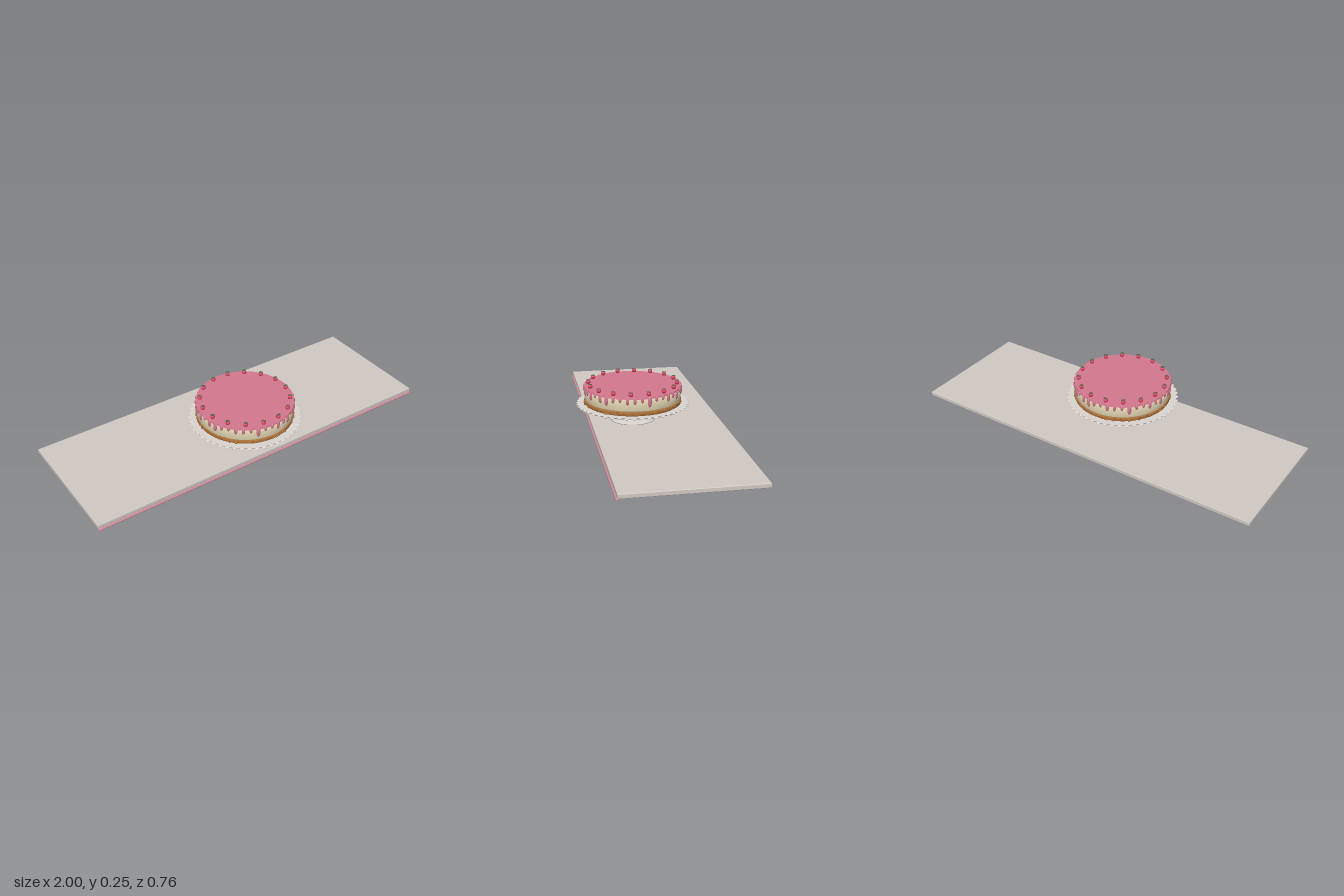
import * as THREE from 'three';
import { RoundedBoxGeometry } from 'three/addons/geometries/RoundedBoxGeometry.js';

const mat = (name, color) => {
  const m = new THREE.MeshStandardMaterial({ color });
  m.name = name;
  return m;
};

export function createModel() {
  const stone = mat('counter stone', 0xd2cac4);
  const china = mat('stand porcelain', 0xdcd6d2);
  const cream = mat('cream filling', 0xd6caa9);
  const biscuit = mat('biscuit base', 0xb5763a);
  const crumbMat = mat('crumb brown', 0x9a6029);
  const glaze = mat('pink glaze', 0xd67890);
  const trimMat = mat('trim pink', 0xcf8d9c);
  const berryMat = mat('berry red', 0xdc4460);
  const leafMat = mat('leaf green', 0x4c6b4c);

  const model = new THREE.Group();
  model.name = 'cakeOnCounter';
  let seed = 7;
  const rand = () => (seed = (seed * 16807) % 2147483647) / 2147483647;

  const add = (parent, name, geo, material, x = 0, y = 0, z = 0) => {
    const mesh = new THREE.Mesh(geo, material);
    mesh.name = name;
    mesh.position.set(x, y, z);
    parent.add(mesh);
    return mesh;
  };
  const lathe = (points, seg = 72) =>
    new THREE.LatheGeometry(points.map(([r, y]) => new THREE.Vector2(r, y)), seg);

  // Counter slab with a thin rail under its front edge
  add(model, 'counterSlab', new RoundedBoxGeometry(2, 0.022, 0.69, 2, 0.003), stone, 0, 0.021, -0.037);
  add(model, 'frontTrim', new RoundedBoxGeometry(2, 0.011, 0.015, 2, 0.004), trimMat, 0, 0.0055, 0.309);

  const cake = new THREE.Group();
  cake.name = 'cakeAndStand';
  cake.position.z = 0.078;
  model.add(cake);

  // Pedestal: wide foot, waisted stem and flared neck
  add(cake, 'pedestal', lathe([
    [0, 0.032], [0.122, 0.032], [0.122, 0.036], [0.118, 0.039], [0.08, 0.041], [0.05, 0.045],
    [0.036, 0.052], [0.031, 0.064], [0.028, 0.08], [0.029, 0.095], [0.033, 0.108], [0.038, 0.12], [0, 0.12],
  ], 48), china);
  add(cake, 'plate', new THREE.CylinderGeometry(0.294, 0.29, 0.006, 96), china, 0, 0.123, 0);

  // Beaded plate rim
  const rim = new THREE.Group();
  rim.name = 'plateRim';
  cake.add(rim);
  const beadGeo = new THREE.SphereGeometry(1, 12, 8);
  for (let i = 0; i < 48; i++) {
    const a = (i / 48) * Math.PI * 2;
    add(rim, 'rimBead', beadGeo, china, Math.cos(a) * 0.293, 0.123, Math.sin(a) * 0.293)
      .scale.set(0.012, 0.0042, 0.012);
  }

  // Cake layers
  add(cake, 'biscuitBase', lathe([
    [0, 0.126], [0.255, 0.126], [0.26, 0.13], [0.26, 0.145], [0.257, 0.15], [0, 0.15],
  ]), biscuit);
  add(cake, 'creamLayer', lathe([
    [0, 0.149], [0.255, 0.149], [0.258, 0.153], [0.258, 0.216], [0, 0.216],
  ]), cream);
  add(cake, 'glazeTop', new THREE.CylinderGeometry(0.26, 0.262, 0.009, 72), glaze, 0, 0.2205, 0);

  // Crumbs pressed into the biscuit edge
  const crumbs = new THREE.Group();
  crumbs.name = 'crumbs';
  cake.add(crumbs);
  const crumbGeo = new THREE.SphereGeometry(1, 8, 6);
  for (let i = 0; i < 110; i++) {
    const a = rand() * Math.PI * 2;
    const s = 0.003 + rand() * 0.0035;
    add(crumbs, 'crumb', crumbGeo, i % 3 ? biscuit : crumbMat,
      Math.cos(a) * 0.26, 0.13 + rand() * 0.015, Math.sin(a) * 0.26).scale.setScalar(s);
  }

  // Glaze drips of varying length around the edge
  const drips = new THREE.Group();
  drips.name = 'glazeDrips';
  cake.add(drips);
  const dripGeo = new THREE.SphereGeometry(1, 14, 12);
  const lows = [0.175, 0.19, 0.18, 0.197, 0.195, 0.17, 0.195, 0.188, 0.185, 0.197, 0.19, 0.172, 0.18, 0.2];
  for (let i = 0; i < 42; i++) {
    const a = 0.112 + ((i - 7) / 42) * Math.PI * 2;
    const low = lows[i % lows.length];
    const drip = add(drips, 'drip', dripGeo, glaze,
      Math.cos(a) * 0.258, (0.227 + low) / 2, Math.sin(a) * 0.258);
    drip.rotation.y = -a;
    drip.scale.set(0.008, (0.227 - low) / 2, 0.007 + (0.2 - low) * 0.13);
  }

  // Ring of berries with leafy caps
  const berries = new THREE.Group();
  berries.name = 'berries';
  cake.add(berries);
  const berryGeo = new THREE.SphereGeometry(0.012, 16, 12);
  const star = new THREE.Shape();
  for (let i = 0; i < 12; i++) {
    const r = i % 2 ? 0.006 : 0.012;
    const a = (i / 12) * Math.PI * 2;
    star[i ? 'lineTo' : 'moveTo'](Math.cos(a) * r, Math.sin(a) * r);
  }
  const leafGeo = new THREE.ExtrudeGeometry(star, { depth: 0.002, bevelEnabled: false });
  leafGeo.rotateX(-Math.PI / 2);
  const stalkGeo = new THREE.CylinderGeometry(0.0015, 0.002, 0.004, 8);
  for (let i = 0; i < 16; i++) {
    const a = ((i + 0.5) / 16) * Math.PI * 2;
    const berry = new THREE.Group();
    berry.name = 'berry';
    berry.position.set(Math.cos(a) * 0.238, 0.2355, Math.sin(a) * 0.238);
    berries.add(berry);
    add(berry, 'fruit', berryGeo, berryMat);
    add(berry, 'leafCap', leafGeo, leafMat, 0, 0.0095, 0);
    add(berry, 'stalk', stalkGeo, leafMat, 0, 0.0115, 0);
  }

  return model;
}
